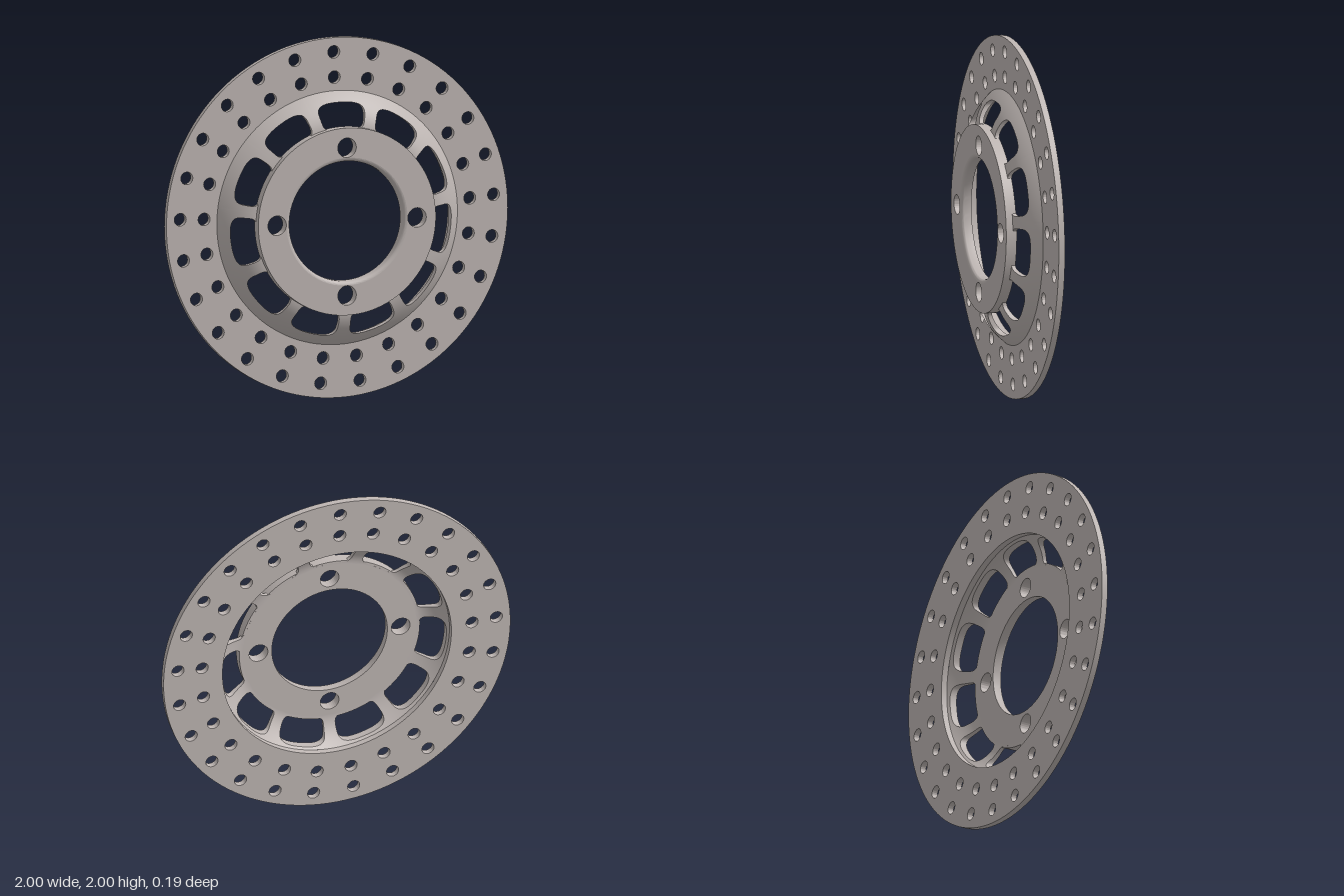
import * as THREE from 'three';
import { mergeVertices, toCreasedNormals } from 'three/addons/utils/BufferGeometryUtils.js';

const TAU = Math.PI * 2;

// Flat ring with round holes, extruded from z0 to z1
function drilledRing(outer, inner, holes, z0, z1) {
  const shape = new THREE.Shape().absarc(0, 0, outer, 0, TAU, false);
  shape.holes.push(new THREE.Path().absarc(0, 0, inner, 0, TAU, true));
  for (const { count, ring, radius, start } of holes) {
    for (let i = 0; i < count; i++) {
      const a = start + (i * TAU) / count;
      const x = ring * Math.cos(a), y = ring * Math.sin(a);
      // each hole starts at its own rightmost point
      const path = new THREE.Path();
      path.absarc(x, y, radius, 0, TAU, true);
      shape.holes.push(path);
    }
  }
  const geo = new THREE.ExtrudeGeometry(shape, { depth: z1 - z0, bevelEnabled: false, curveSegments: 64 });
  geo.translate(0, 0, z0);
  return toCreasedNormals(geo, 0.5);
}

// Bell heights at a given radius, front and back
const INNER = 0.5;
const frontZ = (r) => -0.06 + 0.118 * (1 - ((r - INNER) / 0.205) ** 2);
const backZ = (r) => -0.06 + 0.095 * (1 - ((r - INNER) / 0.16) ** 2);

// Perimeter of the unit square, n points a side
function squareLoop(n) {
  const pts = [];
  for (let i = 0; i < n; i++) pts.push([-1 + (2 * i) / n, -1]);
  for (let i = 0; i < n; i++) pts.push([1, -1 + (2 * i) / n]);
  for (let i = 0; i < n; i++) pts.push([1 - (2 * i) / n, 1]);
  for (let i = 0; i < n; i++) pts.push([-1, 1 - (2 * i) / n]);
  return pts;
}

const SECTORS = 11;
const START = THREE.MathUtils.degToRad(90.5);
const loop = squareLoop(14);

// Rounded window outline as [angle, radius]
const windowLoop = loop.map(([u, v]) => {
  const k = (Math.abs(u) ** 4 + Math.abs(v) ** 4) ** 0.25;
  return [(0.225 * u) / k, 0.578 + (0.071 * v) / k];
});

// Sector border as [angle, radius]
const sectorLoop = (outer) => loop.map(([u, v]) =>
  [(u * Math.PI) / SECTORS, INNER + ((v + 1) / 2) * (outer - INNER)]);

// Joins rows of points into a smooth skin, repeated round the axis
function sectorSkin(rows, flip) {
  const pos = [], index = [];
  const n = loop.length;
  for (let s = 0; s < SECTORS; s++) {
    const base = pos.length / 3;
    const mid = START + (s * TAU) / SECTORS;
    for (const row of rows) {
      for (const [a, r, z] of row) pos.push(r * Math.cos(mid + a), r * Math.sin(mid + a), z);
    }
    for (let j = 0; j < rows.length - 1; j++) {
      for (let i = 0; i < n; i++) {
        const k = (i + 1) % n;
        const a = base + j * n + i, b = base + j * n + k;
        const c = b + n, d = a + n;
        if (flip) index.push(a, c, b, a, d, c);
        else index.push(a, b, c, a, c, d);
      }
    }
  }
  const geo = new THREE.BufferGeometry();
  geo.setAttribute('position', new THREE.Float32BufferAttribute(pos, 3));
  geo.setIndex(index);
  const merged = mergeVertices(geo, 1e-5);
  merged.computeVertexNormals();
  return merged;
}

// Rows running from the window edge out to the sector border
function faceRows(outer, zAt) {
  const border = sectorLoop(outer), steps = 7, rows = [];
  for (let j = 0; j <= steps; j++) {
    const t = j / steps;
    rows.push(windowLoop.map(([a, r], i) => {
      const rr = r + (border[i][1] - r) * t;
      return [a + (border[i][0] - a) * t, rr, zAt(rr)];
    }));
  }
  return rows;
}

export function createModel() {
  const steel = new THREE.MeshStandardMaterial({ color: 0xbfb7b4 });
  steel.name = 'brushedSteel';

  const model = new THREE.Group();
  model.name = 'brakeDisc';
  const add = (parent, name, geo) => {
    const mesh = new THREE.Mesh(geo, steel);
    mesh.name = name;
    parent.add(mesh);
  };

  // Outer friction ring with two rows of drilled holes
  const start = THREE.MathUtils.degToRad(91.2);
  add(model, 'frictionRing', drilledRing(1, 0.66, [
    { count: 25, ring: 0.92, radius: 0.035, start },
    { count: 25, ring: 0.78, radius: 0.035, start },
  ], -0.095, -0.06));

  // Domed bell with eleven windows
  const bell = new THREE.Group();
  bell.name = 'bell';
  add(bell, 'bellFront', sectorSkin(faceRows(0.705, frontZ), false));
  add(bell, 'bellBack', sectorSkin(faceRows(0.66, backZ), true));
  add(bell, 'windowWalls', sectorSkin([
    windowLoop.map(([a, r]) => [a, r, frontZ(r)]),
    windowLoop.map(([a, r]) => [a, r, backZ(r)]),
  ], true));
  model.add(bell);

  // Mounting flange with four bolt holes
  add(model, 'hubFlange', drilledRing(0.52, 0.355, [
    { count: 4, ring: 0.41, radius: 0.054, start: 0 },
  ], 0.035, 0.095));

  // Bore lip with a rounded front edge
  const profile = [new THREE.Vector2(0.355, 0.095)];
  for (let i = 1; i <= 6; i++) {
    const a = (i / 6) * (Math.PI / 2);
    profile.push(new THREE.Vector2(0.355 - 0.022 * Math.sin(a), 0.073 + 0.022 * Math.cos(a)));
  }
  profile.push(new THREE.Vector2(0.333, 0.035), new THREE.Vector2(0.355, 0.035));
  const lip = new THREE.LatheGeometry(profile, 128);
  lip.rotateX(Math.PI / 2);
  // the rotated lathe is turned so its skin faces the bore
  const flipped = lip.index.array;
  const p = lip.attributes.position, e = new THREE.Vector3(), f = new THREE.Vector3(), g = new THREE.Vector3();
  const at = (v, i) => v.fromBufferAttribute(p, flipped[i]);
  at(e, 0); at(f, 1); at(g, 2);
  if (f.sub(e).cross(g.sub(e)).z < 0) {
    for (let i = 0; i < flipped.length; i += 3) [flipped[i], flipped[i + 1]] = [flipped[i + 1], flipped[i]];
  }
  add(model, 'boreLip', toCreasedNormals(lip, 0.5));

  model.position.y = 1;
  const root = new THREE.Group();
  root.name = 'brakeDiscAssembly';
  root.add(model);
  return root;
}
